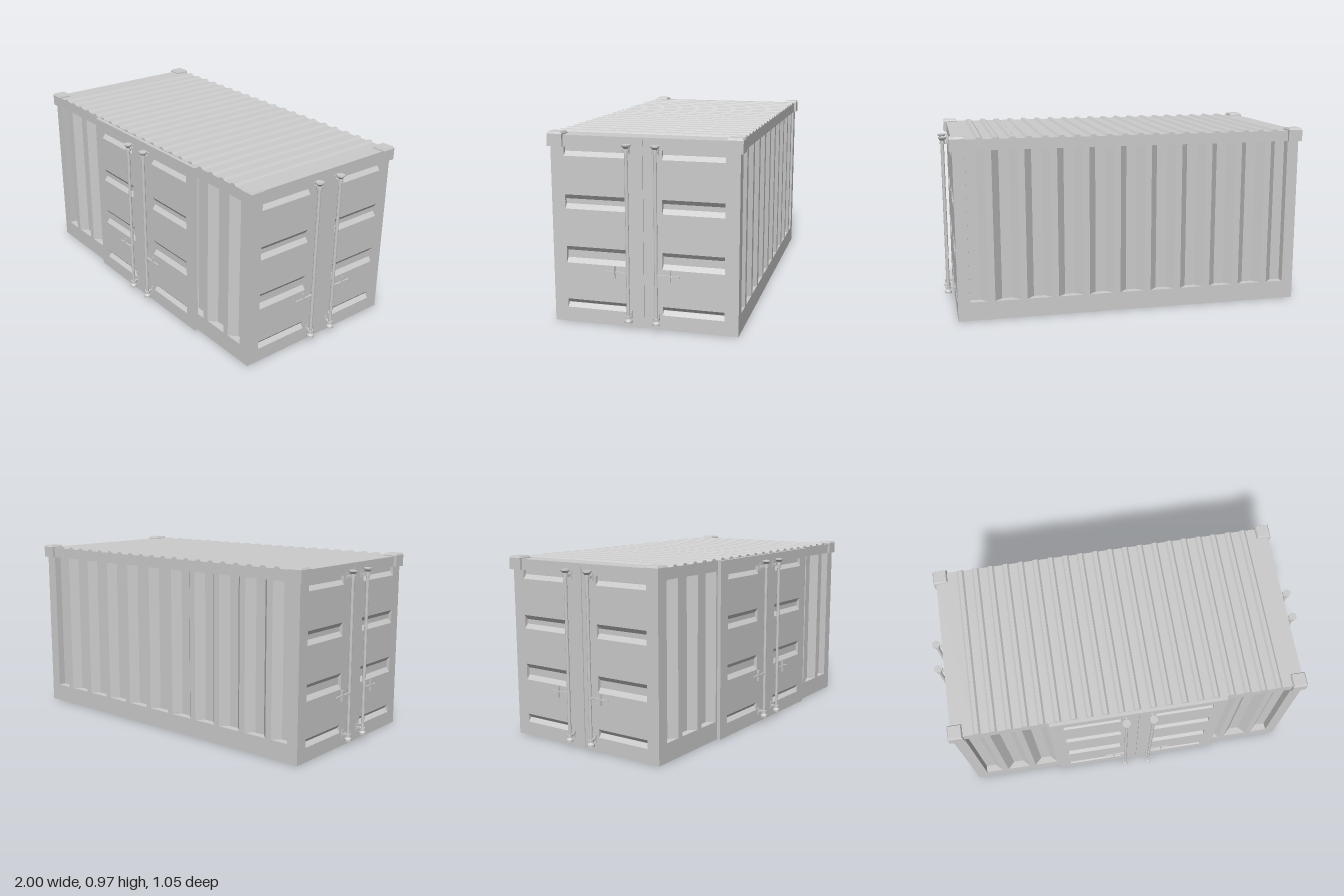
import * as THREE from 'three';

const grey = new THREE.MeshStandardMaterial({ color: 0xcccccc, side: THREE.DoubleSide, flatShading: true });
const smooth = new THREE.MeshStandardMaterial({ color: 0xcccccc });

const HALF_X = 0.94, FRONT = 0.445, BACK = -0.507, ROOF = 0.957;
const MID_Z = (FRONT + BACK) / 2;

function add(parent, name, geometry, material = grey) {
  const mesh = new THREE.Mesh(geometry, material);
  mesh.name = name;
  parent.add(mesh);
  return mesh;
}

function box(parent, name, x0, x1, y0, y1, z0, z1) {
  const mesh = add(parent, name, new THREE.BoxGeometry(x1 - x0, y1 - y0, z1 - z0));
  mesh.position.set((x0 + x1) / 2, (y0 + y1) / 2, (z0 + z1) / 2);
  return mesh;
}

const corners = ([u0, u1, v0, v1], z) => [[u0, v0, z], [u1, v0, z], [u1, v1, z], [u0, v1, z]];

// Pressed sheet facing +z: each recess runs from an outer rectangle to an inner one at its depth
function pressedPanel(parent, name, rect, recesses) {
  const toPath = (r) => corners(r, 0).map(([x, y]) => new THREE.Vector2(x, y));
  const shape = new THREE.Shape(toPath(rect));
  const points = [];
  const quad = (a, b, c, d) => points.push(...a, ...b, ...c, ...a, ...c, ...d);
  for (const { outer, inner, depth } of recesses) {
    shape.holes.push(new THREE.Path(toPath(outer)));
    const o = corners(outer, 0), i = corners(inner, -depth);
    quad(...i);
    for (let k = 0; k < 4; k++) quad(o[k], o[(k + 1) % 4], i[(k + 1) % 4], i[k]);
  }
  add(parent, name, new THREE.ShapeGeometry(shape));
  const pressed = new THREE.BufferGeometry();
  pressed.setAttribute('position', new THREE.Float32BufferAttribute(points, 3));
  pressed.computeVertexNormals();
  add(parent, name + 'Recesses', pressed);
}

// Long wall with eleven upright corrugations, the end ones cut short
function sideWall(name) {
  const wall = new THREE.Group();
  wall.name = name;
  const recesses = [];
  const limit = 0.877;
  const clip = (v) => THREE.MathUtils.clamp(v, -limit, limit);
  for (let k = -5; k <= 5; k++) {
    const c = k * 0.1694;
    recesses.push({
      outer: [clip(c - 0.067), clip(c + 0.067), 0.1, 0.9],
      inner: [clip(c - 0.028), clip(c + 0.028), 0.1, 0.9],
      depth: 0.04,
    });
  }
  pressedPanel(wall, 'corrugatedSheet', [-HALF_X, HALF_X, 0, 0.945], recesses);
  return wall;
}

// Locking bar with end caps, brackets and a cross-shaped handle; side is the handle direction
function lockingBar(side) {
  const lock = new THREE.Group();
  lock.name = 'lockingBar';
  const off = 0.037;
  const profile = [
    [0, 0.035], [0.019, 0.035], [0.019, 0.046], [0.011, 0.056], [0.011, 0.06], [0.015, 0.06],
    [0.015, 0.072], [0.0085, 0.072], [0.0085, 0.888], [0.015, 0.888], [0.015, 0.901],
    [0.011, 0.901], [0.011, 0.908], [0.022, 0.92], [0.022, 0.927], [0, 0.927],
  ].map(([r, y]) => new THREE.Vector2(r, y));
  const barMaterial = smooth.clone();
  barMaterial.flatShading = true;
  add(lock, 'bar', new THREE.LatheGeometry(profile, 16), barMaterial).position.z = off;
  for (const y of [0.066, 0.894]) {
    box(lock, 'bracket', -0.005, 0.005, y - 0.006, y + 0.006, 0, off);
    box(lock, 'bracketPlate', -0.008, 0.008, y - 0.02, y + 0.02, 0, 0.005);
  }
  const handle = new THREE.Group();
  handle.name = 'handle';
  handle.position.set(0, 0.29, off);
  if (side < 0) handle.rotation.y = Math.PI;
  box(handle, 'handleRoot', 0, 0.03, -0.007, 0.005, -0.005, 0.005);
  box(handle, 'handleArm', 0.02, 0.118, -0.004, 0.004, -0.004, 0.004);
  box(handle, 'handleCross', 0.066, 0.074, -0.031, 0.031, -0.005, 0.005);
  lock.add(handle);
  return lock;
}

// Pair of doors with four pressed slots per leaf, a centre seam and two locking bars
function doubleDoor(name) {
  const doors = new THREE.Group();
  doors.name = name;
  // outer bottom, inner bottom, inner top, outer top
  const slots = [
    [0.075, 0.097, 0.098, 0.119], [0.31, 0.334, 0.373, 0.396],
    [0.588, 0.612, 0.637, 0.66], [0.853, 0.876, 0.9, 0.9],
  ];
  const recesses = [{ outer: [-0.002, 0.002, 0.003, 0.95], inner: [-0.002, 0.002, 0.003, 0.95], depth: 0.006 }];
  for (const side of [-1, 1]) {
    const u0 = side < 0 ? -0.406 : 0.095, u1 = u0 + 0.311;
    for (const [a, b, c, d] of slots) {
      recesses.push({ outer: [u0, u1, a, d], inner: [u0, u1, b, c], depth: 0.018 });
    }
    const lock = lockingBar(side);
    lock.position.x = side * 0.072;
    doors.add(lock);
  }
  pressedPanel(doors, 'doorLeaves', [-0.476, 0.476, 0, 0.955], recesses);
  return doors;
}

// Roof slab with twenty low trapezoid ribs
function roof(parent) {
  const shape = new THREE.Shape();
  shape.moveTo(-HALF_X, 0.945);
  shape.lineTo(HALF_X, 0.945);
  shape.lineTo(HALF_X, ROOF);
  for (let k = 19; k >= 0; k--) {
    const c = (k - 9.5) * 0.0845;
    shape.lineTo(c + 0.02, ROOF);
    shape.lineTo(c + 0.01, 0.967);
    shape.lineTo(c - 0.01, 0.967);
    shape.lineTo(c - 0.02, ROOF);
  }
  shape.lineTo(-HALF_X, ROOF);
  const geometry = new THREE.ExtrudeGeometry(shape, { depth: FRONT - BACK, bevelEnabled: false });
  add(parent, 'ribbedRoof', geometry).position.z = BACK;
}

// Corner cap: a chamfered lid with a skirt over both outer faces
function cornerCap(parent, sx, sz) {
  const cap = new THREE.Group();
  cap.name = 'cornerCap';
  const edgeZ = sz > 0 ? 0.457 : 0.522;
  const wallZ = sz > 0 ? FRONT : -BACK;
  const size = 0.078;
  const span = (s, a, b) => (s > 0 ? [a, b] : [-b, -a]);
  const xs = span(sx, 0.955 - size, 0.955), zs = span(sz, edgeZ - size, edgeZ);
  box(cap, 'skirtEnd', ...span(sx, HALF_X, 0.955), 0.9, 0.962, ...zs);
  box(cap, 'skirtSide', ...xs, 0.9, 0.962, ...span(sz, wallZ, edgeZ));
  box(cap, 'lid', ...xs, 0.95, 0.962, ...zs);
  const r = size / Math.SQRT2;
  const chamfer = new THREE.CylinderGeometry(r - 0.008, r, 0.01, 4).rotateY(Math.PI / 4);
  add(cap, 'chamfer', chamfer).position.set((xs[0] + xs[1]) / 2, 0.967, (zs[0] + zs[1]) / 2);
  parent.add(cap);
}

export function createModel() {
  const model = new THREE.Group();
  model.name = 'shippingContainer';

  const place = (part, x, z, turn) => {
    part.position.set(x, 0, z);
    part.rotation.y = turn;
    model.add(part);
  };
  place(sideWall('frontWall'), 0, FRONT, 0);
  place(sideWall('backWall'), 0, BACK, Math.PI);
  place(doubleDoor('leftEndDoors'), HALF_X, MID_Z, Math.PI / 2);
  place(doubleDoor('rightEndDoors'), -HALF_X, MID_Z, -Math.PI / 2);

  // Front doors stand proud of the wall on a thin frame
  const front = doubleDoor('frontDoors');
  for (const s of [-1, 1]) box(front, 'doorFrameSide', s * 0.474 - 0.002, s * 0.474 + 0.002, 0, 0.955, -0.02, -0.0005);
  box(front, 'doorFrameTop', -0.476, 0.476, 0.951, 0.955, -0.02, -0.0005);
  box(front, 'doorFrameBottom', -0.476, 0.476, 0, 0.004, -0.02, -0.0005);
  place(front, 0.048, 0.465, 0);

  roof(model);
  for (const sx of [-1, 1]) for (const sz of [-1, 1]) cornerCap(model, sx, sz);
  return model;
}
